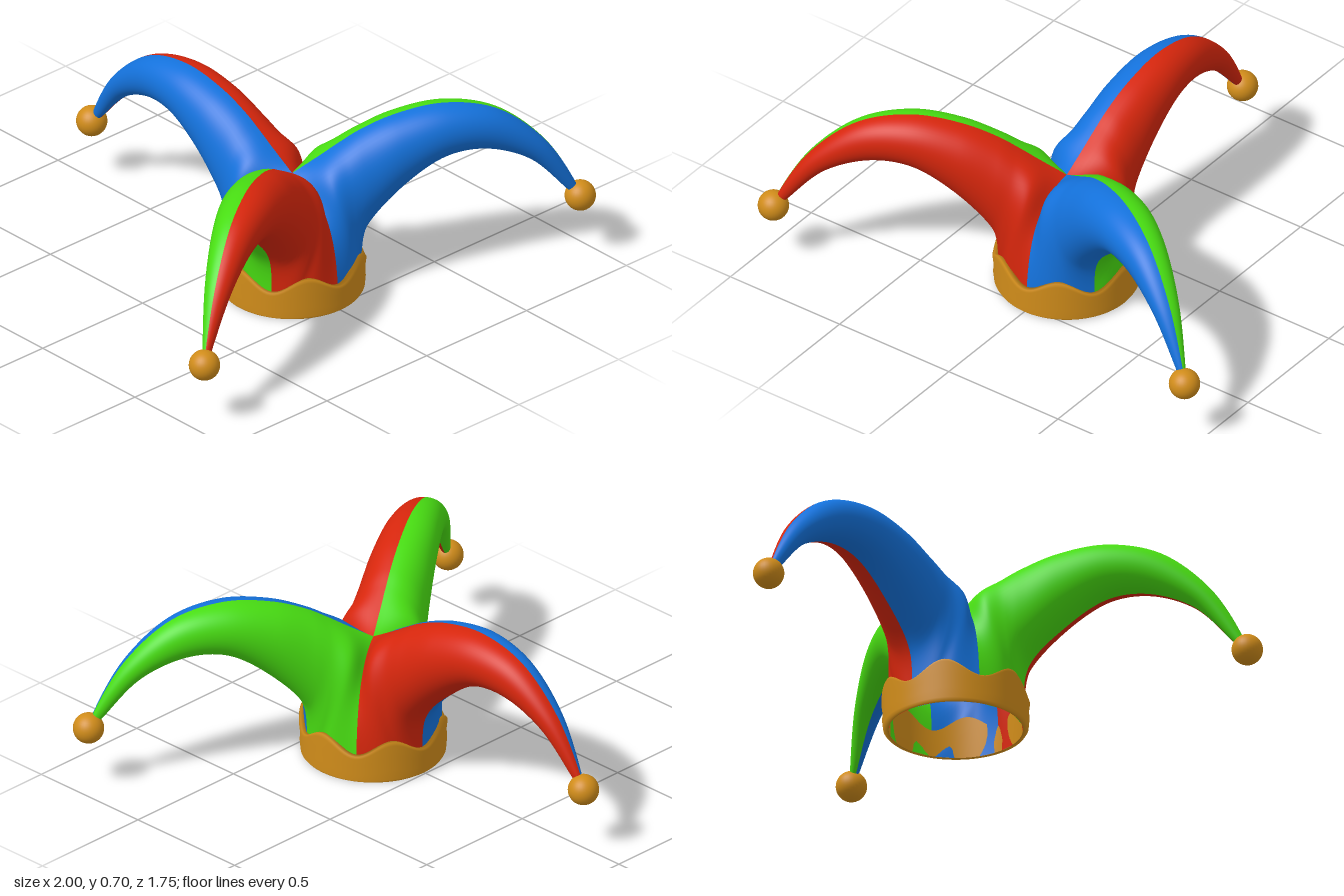
import * as THREE from 'three';

const RED = 0xd6260c, BLUE = 0x1472dc, GREEN = 0x48dd12, GOLD = 0xd08c1a;
const CENTRE_Z = 0.27;

// Cross-sections of half a horn, from the seam on the crown to the tip.
// Each is a cubic Bezier (top, two side handles, underside) of [side, height, outward].
const SECTIONS = [
  [[0, 0.47, 0], [0.147, 0.455, 0.085], [0.217, 0.32, 0.125], [0.217, 0, 0.125]],
  [[0, 0.53, 0.1], [0.22, 0.53, 0.1], [0.195, 0.3, 0.195], [0.125, 0, 0.217]],
  [[0, 0.58, 0.18], [0.205, 0.58, 0.18], [0.195, 0.2, 0.235], [0, 0, 0.25]],
  [[0, 0.62, 0.25], [0.185, 0.62, 0.25], [0.185, 0.22, 0.26], [0, 0.23, 0.27]],
  [[0, 0.67, 0.38], [0.165, 0.67, 0.38], [0.165, 0.385, 0.41], [0, 0.385, 0.41]],
  [[0, 0.697, 0.57], [0.14, 0.697, 0.57], [0.14, 0.487, 0.57], [0, 0.487, 0.57]],
  [[0, 0.65, 0.77], [0.107, 0.65, 0.77], [0.107, 0.497, 0.72], [0, 0.497, 0.72]],
  [[0, 0.5, 0.95], [0.067, 0.5, 0.95], [0.067, 0.43, 0.89], [0, 0.43, 0.89]],
  [[0, 0.31, 1.065], [0.025, 0.31, 1.065], [0.025, 0.285, 1.03], [0, 0.285, 1.03]],
  [[0, 0.24, 1.09], [0.012, 0.24, 1.09], [0.012, 0.24, 1.07], [0, 0.24, 1.07]],
];

// Lofts the sections into one half of a horn; side is +1 or -1
function halfHornGeometry(side) {
  const rails = [0, 1, 2, 3].map((k) =>
    new THREE.CatmullRomCurve3(SECTIONS.map((s) => new THREE.Vector3(...s[k]))));
  const rows = 72, cols = 28, positions = [], index = [];
  for (let i = 0; i <= rows; i++) {
    const section = new THREE.CubicBezierCurve3(...rails.map((r) => r.getPoint(i / rows)));
    for (let j = 0; j <= cols; j++) {
      const p = section.getPoint(j / cols);
      positions.push(side * Math.max(0, p.x), Math.max(0, p.y), p.z);
      if (i === rows || j === cols) continue;
      const a = i * (cols + 1) + j, b = a + 1, c = a + cols + 1, d = c + 1;
      if (side > 0) index.push(a, c, b, b, c, d);
      else index.push(a, b, c, b, d, c);
    }
  }
  const geometry = new THREE.BufferGeometry();
  geometry.setAttribute('position', new THREE.Float32BufferAttribute(positions, 3));
  geometry.setIndex(index);
  geometry.computeVertexNormals();
  return geometry;
}

// Head band whose upper edge rises and falls in six waves
function bandGeometry() {
  const profile = [[0.247, 0], [0.262, 0], [0.268, 0.06], [0.271, 0.3], [0.27, 0.65],
    [0.274, 0.93], [0.268, 1], [0.247, 1], [0.247, 0]];
  const geometry = new THREE.LatheGeometry(profile.map((p) => new THREE.Vector2(...p)), 120);
  const pos = geometry.attributes.position;
  for (let i = 0; i < pos.count; i++) {
    const angle = Math.atan2(pos.getX(i), pos.getZ(i));
    pos.setY(i, pos.getY(i) * (0.135 - 0.03 * Math.cos(6 * angle)));
  }
  return geometry;
}

export function createModel() {
  const hat = new THREE.Group();
  hat.name = 'jesterHat';
  const cloth = (color) => new THREE.MeshStandardMaterial({ color, side: THREE.DoubleSide });
  const gold = new THREE.MeshStandardMaterial({ color: GOLD });
  const add = (parent, name, geometry, material) => {
    const mesh = new THREE.Mesh(geometry, material);
    mesh.name = name;
    parent.add(mesh);
    return mesh;
  };

  // Three two-coloured horns, each with a bell at its tip
  const halves = [halfHornGeometry(1), halfHornGeometry(-1)];
  const bell = new THREE.SphereGeometry(0.058, 32, 20);
  const horns = [
    ['leftHorn', Math.PI / 3, GREEN, BLUE],
    ['backHorn', Math.PI, BLUE, RED],
    ['rightHorn', -Math.PI / 3, RED, GREEN],
  ];
  for (const [name, angle, ...colors] of horns) {
    const horn = new THREE.Group();
    horn.name = name;
    horn.position.z = CENTRE_Z;
    horn.rotation.y = angle;
    halves.forEach((half, i) => add(horn, 'hornHalf', half, cloth(colors[i])));
    add(horn, 'bell', bell, gold).position.set(0, 0.243, 1.087);
    hat.add(horn);
  }

  add(hat, 'headBand', bandGeometry(), gold).position.z = CENTRE_Z;
  return hat;
}
